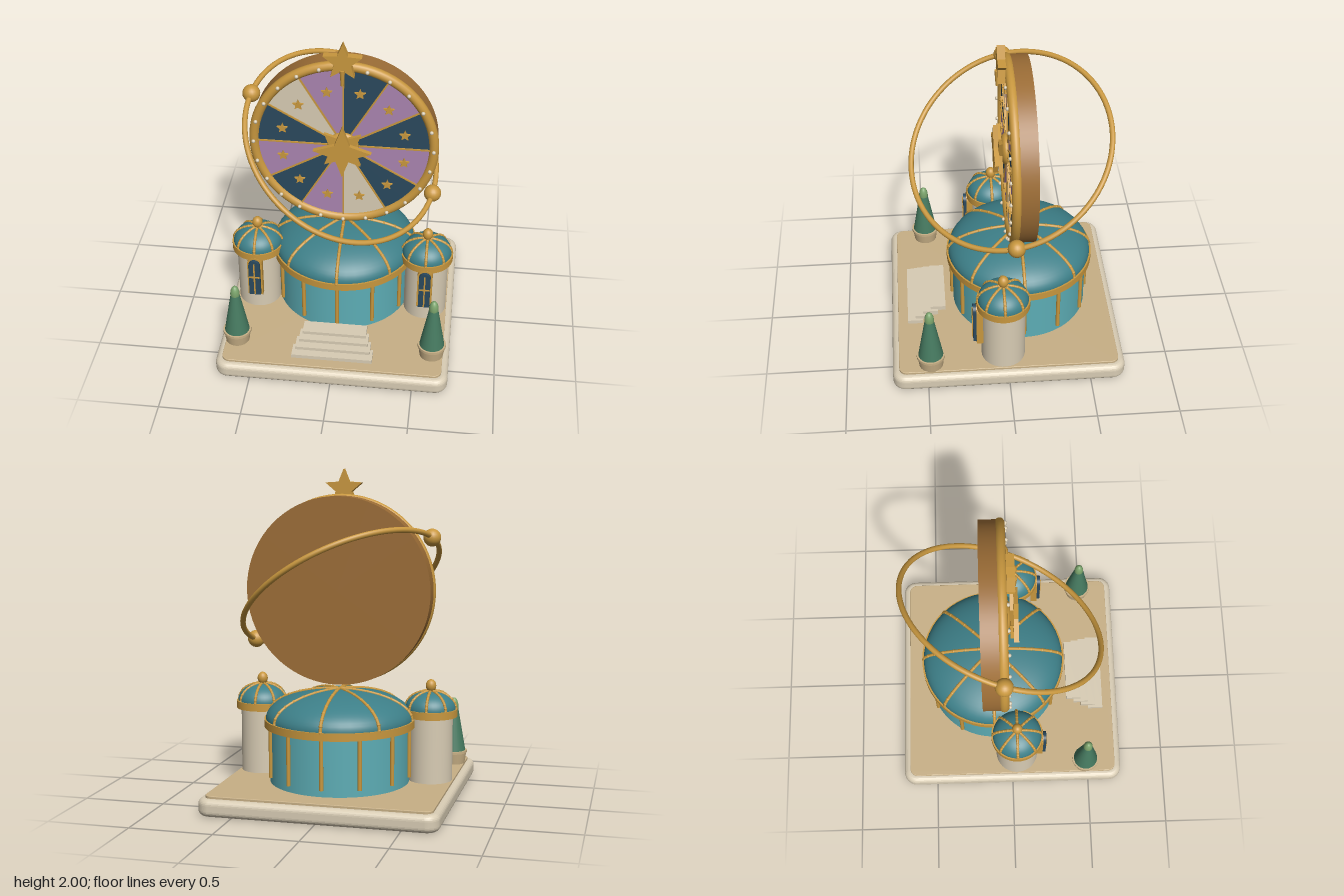
import * as THREE from 'three';

const mat = (name, color) => {
  const m = new THREE.MeshStandardMaterial({ color });
  m.name = name;
  return m;
};

export function createModel() {
  const cream = mat('cream stone', 0xd8ccb4);
  const tan = mat('sandstone', 0xc8b086);
  const gold = mat('gold', 0xc8973e);
  const domeTeal = mat('dome teal', 0x3d7f88);
  const wallTeal = mat('wall teal', 0x5dadb5);
  const brown = mat('bronze brown', 0x9c6d36);
  const navy = mat('navy', 0x2a495e);
  const purple = mat('lilac', 0xaa84b0);
  const leaf = mat('dark leaf', 0x467a60);
  const leafTip = mat('light leaf', 0x7ba46c);

  const model = new THREE.Group();
  model.name = 'wheelPavilion';
  const group = (name, parent, x = 0, y = 0, z = 0) => {
    const g = new THREE.Group();
    g.name = name;
    g.position.set(x, y, z);
    parent.add(g);
    return g;
  };
  const add = (parent, name, geo, material, x = 0, y = 0, z = 0) => {
    const m = new THREE.Mesh(geo, material);
    m.name = name;
    m.position.set(x, y, z);
    parent.add(m);
    return m;
  };
  const box = (w, h, d) => new THREE.BoxGeometry(w, h, d);
  const cyl = (rTop, rBottom, h, seg = 48) => new THREE.CylinderGeometry(rTop, rBottom, h, seg);
  const ball = (r) => new THREE.SphereGeometry(r, 20, 14);
  const extrude = (shape, depth) =>
    new THREE.ExtrudeGeometry(shape, { depth, bevelEnabled: false, curveSegments: 16 });

  const starShape = (points, outer, inner) => {
    const s = new THREE.Shape();
    for (let i = 0; i < points * 2; i++) {
      const a = Math.PI / 2 + (i * Math.PI) / points;
      const r = i % 2 ? inner : outer;
      s[i ? 'lineTo' : 'moveTo'](Math.cos(a) * r, Math.sin(a) * r);
    }
    s.closePath();
    return s;
  };
  const archShape = (halfW, bottom, top) => {
    const s = new THREE.Shape();
    s.moveTo(-halfW, bottom);
    s.lineTo(halfW, bottom);
    s.lineTo(halfW, top - halfW);
    s.absarc(0, top - halfW, halfW, 0, Math.PI, false);
    s.closePath();
    return s;
  };

  // Square slab with round corners and a bevelled edge, standing on y
  const slab = (name, half, corner, y, height, bevel, material) => {
    const h = half - bevel, c = corner;
    const s = new THREE.Shape();
    s.absarc(h - c, h - c, c, 0, Math.PI / 2);
    s.absarc(c - h, h - c, c, Math.PI / 2, Math.PI);
    s.absarc(c - h, c - h, c, Math.PI, Math.PI * 1.5);
    s.absarc(h - c, c - h, c, Math.PI * 1.5, Math.PI * 2);
    const geo = new THREE.ExtrudeGeometry(s, {
      depth: height - 2 * bevel, bevelThickness: bevel, bevelSize: bevel,
      bevelSegments: 6, curveSegments: 8,
    });
    geo.rotateX(-Math.PI / 2);
    add(model, name, geo, material, 0, y + bevel, 0);
  };
  slab('base', 0.715, 0.045, 0, 0.105, 0.035, cream);
  slab('terrace', 0.675, 0.045, 0.1, 0.02, 0.004, tan);

  // Elliptical dome with eight jointed ribs
  const dome = (parent, r, h, y, ribR) => {
    const g = group('dome', parent, 0, y, 0);
    const geo = new THREE.SphereGeometry(1, 48, 16, 0, Math.PI * 2, 0, Math.PI / 2);
    geo.scale(r, h, r);
    add(g, 'domeShell', geo, domeTeal);
    const points = [];
    for (let i = 0; i <= 8; i++) {
      const t = (i / 8) * Math.PI / 2;
      points.push(new THREE.Vector3(0, Math.sin(t) * h, Math.cos(t) * r));
    }
    const ribGeo = new THREE.TubeGeometry(new THREE.CatmullRomCurve3(points), 24, ribR, 8);
    for (let i = 0; i < 8; i++) {
      const rib = group('rib', g);
      rib.rotation.y = (i * Math.PI) / 4;
      add(rib, 'ribTube', ribGeo, gold);
      for (const p of points) add(rib, 'ribJoint', new THREE.SphereGeometry(ribR * 1.2, 8, 6), gold, p.x, p.y, p.z);
    }
  };

  // Main round hall
  const hall = group('hall', model, 0, 0, -0.11);
  add(hall, 'hallWall', cyl(0.424, 0.424, 0.36, 64), wallTeal, 0, 0.3, 0);
  add(hall, 'hallCornice', cyl(0.458, 0.458, 0.046, 64), gold, 0, 0.482, 0);
  for (let i = 0; i < 12; i++) {
    const a = (i * Math.PI) / 6;
    add(hall, 'hallColumn', cyl(0.0125, 0.0125, 0.3, 12), gold, Math.sin(a) * 0.43, 0.31, Math.cos(a) * 0.43);
  }
  dome(hall, 0.448, 0.178, 0.505, 0.01);

  // Entrance steps
  for (let i = 0; i < 4; i++) {
    add(model, 'step', box(0.496 - i * 0.034, 0.03, 0.095), cream, 0, 0.13 + i * 0.021, 0.565 - i * 0.049);
  }

  for (const side of [-1, 1]) {
    // Side tower with arched window
    const tower = group(side > 0 ? 'leftTower' : 'rightTower', model, side * 0.535, 0, 0.03);
    add(tower, 'towerWall', cyl(0.134, 0.134, 0.41), cream, 0, 0.325, 0);
    add(tower, 'towerCornice', cyl(0.163, 0.163, 0.046), gold, 0, 0.539, 0);
    dome(tower, 0.154, 0.106, 0.562, 0.0085);
    const finial = add(tower, 'finial', ball(0.032), gold, 0, 0.7, 0);
    finial.scale.y = 1.2;
    add(tower, 'windowFrame', extrude(archShape(0.047, 0.245, 0.535), 0.045), gold, 0, 0, 0.12);
    add(tower, 'windowPane', extrude(archShape(0.036, 0.258, 0.524), 0.065), navy, 0, 0, 0.12);
    add(tower, 'windowMullion', box(0.009, 0.24, 0.008), gold, 0, 0.385, 0.187);
    add(tower, 'windowCrossbar', box(0.066, 0.009, 0.008), gold, 0, 0.4, 0.187);

    // Potted cone tree
    const tree = group('pottedTree', model, side * 0.605, 0, 0.478);
    add(tree, 'pot', cyl(0.083, 0.073, 0.07, 24), tan, 0, 0.153, 0);
    add(tree, 'potRim', cyl(0.087, 0.087, 0.016, 24), tan, 0, 0.196, 0);
    add(tree, 'foliage', cyl(0.026, 0.077, 0.29, 24), leaf, 0, 0.345, 0);
    const tip = add(tree, 'foliageTip', ball(0.029), leafTip, 0, 0.487, 0);
    tip.scale.y = 2;
  }

  // Upright wheel
  const wheel = group('wheel', model, 0, 1.28, 0);
  const drum = cyl(0.563, 0.563, 0.13, 72);
  drum.rotateX(Math.PI / 2);
  add(wheel, 'wheelDrum', drum, brown, 0, 0, -0.108);
  add(wheel, 'wheelRim', new THREE.TorusGeometry(0.543, 0.03, 16, 80), gold, 0, 0, -0.047);
  const panelColors = [navy, purple, navy, purple, navy, cream, purple, navy, purple, navy, cream, purple];
  const smallStar = extrude(starShape(5, 0.035, 0.016), 0.012);
  panelColors.forEach((color, i) => {
    const start = Math.PI / 2 - ((i + 1) * Math.PI) / 6;
    const mid = start + Math.PI / 12;
    add(wheel, 'wheelPanel', new THREE.CircleGeometry(0.525, 8, start, Math.PI / 6), color, 0, 0, -0.038);
    add(wheel, 'panelStar', smallStar, gold, Math.cos(mid) * 0.38, Math.sin(mid) * 0.38, -0.036);
    const spoke = add(wheel, 'spoke', box(0.52, 0.009, 0.009), gold,
      Math.cos(start) * 0.26, Math.sin(start) * 0.26, -0.035);
    spoke.rotation.z = start;
  });
  for (let i = 0; i < 24; i++) {
    const a = (i * Math.PI) / 12;
    add(wheel, 'rimBead', new THREE.SphereGeometry(0.012, 10, 8), cream, Math.cos(a) * 0.543, Math.sin(a) * 0.543, -0.014);
  }

  // Hub with layered starburst
  const hub = add(wheel, 'hub', ball(0.095), gold, 0, 0, -0.025);
  hub.scale.z = 0.4;
  const backBurst = add(wheel, 'backBurst', extrude(starShape(4, 0.155, 0.07), 0.022), gold, 0, 0, 0);
  backBurst.rotation.z = Math.PI / 4;
  add(wheel, 'frontBurst', extrude(starShape(4, 0.175, 0.065), 0.03), gold, 0, 0, 0.02);

  // Star and pointer on top
  add(model, 'topStar', extrude(starShape(5, 0.118, 0.052), 0.046), gold, 0, 1.882, -0.02);
  add(model, 'pointer', cyl(0.016, 0.009, 0.1, 12), gold, 0, 1.783, 0.024);

  // Tilted orbit ring with two balls
  const orbit = group('orbit', model, 0, 1.28, -0.047);
  const ring = add(orbit, 'orbitRing', new THREE.TorusGeometry(0.635, 0.0165, 12, 96), gold);
  ring.quaternion.setFromUnitVectors(
    new THREE.Vector3(0, 0, 1), new THREE.Vector3(0.477, 0.807, 0.37).normalize());
  for (const s of [-1, 1]) add(orbit, 'orbitBall', ball(0.053), gold, s * 0.547, s * -0.32, 0);

  return model;
}
